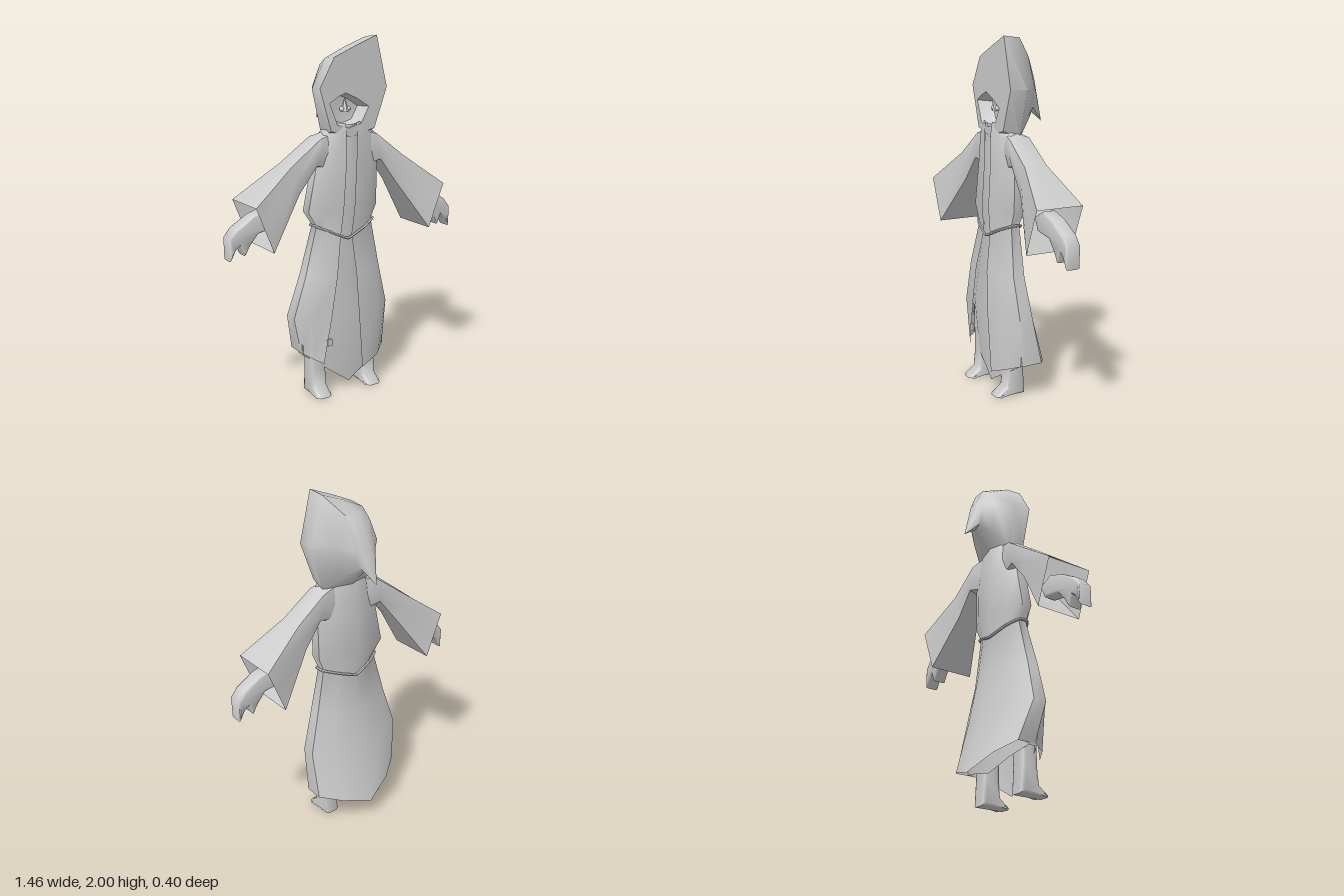
import * as THREE from 'three';
import { toCreasedNormals } from 'three/addons/utils/BufferGeometryUtils.js';

const material = new THREE.MeshStandardMaterial({ color: 0xcccccc, side: THREE.DoubleSide });

function part(name, geometry, crease = 0.9) {
  const mesh = new THREE.Mesh(toCreasedNormals(geometry, crease), material);
  mesh.name = name;
  return mesh;
}

// Skin a list of rings, each with the same number of [x, y, z] points.
function loft(rings, closed = true) {
  const n = rings[0].length;
  const index = [];
  for (let i = 0; i < rings.length - 1; i++) {
    for (let j = 0; j < (closed ? n : n - 1); j++) {
      const k = (j + 1) % n;
      const a = i * n + j, b = i * n + k, c = a + n, d = b + n;
      index.push(a, b, d, a, d, c);
    }
  }
  const g = new THREE.BufferGeometry();
  g.setAttribute('position', new THREE.Float32BufferAttribute(rings.flat(2), 3));
  g.setIndex(index);
  g.computeVertexNormals();
  return g;
}

// Horizontal section of the robe, from the left front edge round the back to
// the right front edge. Hem heights may differ at front, sides and back.
function robeRing({ y, xl, xr, gl, gr, zf, zb, yr = y, yfl = y, yfr = y, yb = y }) {
  const zm = (zf + zb) / 2, d = (zf - zb) * 0.2, cx = -0.02;
  const mix = THREE.MathUtils.lerp;
  const half = (x, g, ySide, yFront) => [
    [g, yFront, zf],
    [mix(g, x, 0.6), mix(yFront, ySide, 0.6), mix(zf, zm, 0.15)],
    [x, ySide, zm + d],
    [x, ySide, zm - d * 0.6],
    [mix(cx, x, 0.6), mix(yb, ySide, 0.6), mix(zb, zm, 0.3)],
  ];
  return [...half(xr, gr, yr, yfr), [cx, yb, zb], ...half(xl, gl, y, yfl).reverse()];
}

function extrude(points, depth, bevel) {
  const shape = new THREE.Shape(points.map(([x, y]) => new THREE.Vector2(x, y)));
  const g = new THREE.ExtrudeGeometry(shape, {
    depth: depth - 2 * bevel, bevelEnabled: true, bevelThickness: bevel,
    bevelSize: bevel, bevelOffset: -bevel, bevelSegments: 2,
  });
  return g.translate(0, 0, bevel - depth / 2);
}

// Sleeve, open at the cuff, with its hand; built on the +x side.
function createArm(cuffShift) {
  const arm = new THREE.Group();
  const ring = (xt, yt, xb, yb, z0, z1, round) => {
    const xm = (xt + xb) / 2, ym = (yt + yb) / 2, zm = (z0 + z1) / 2;
    const c = (x, y, z) => [
      x + (xm - x) * round, y + (ym - y) * round, z + (zm - z) * round];
    return [c(xt, yt, z0), [xt, yt, zm], c(xt, yt, z1), [xm, ym, z1],
      c(xb, yb, z1), [xb, yb, zm], c(xb, yb, z0), [xm, ym, z0]];
  };
  const s = cuffShift;
  arm.add(part('sleeve', loft([
    ring(0.08, 1.51, 0.12, 1.27, 0.0, 0.12, 0.2),
    ring(0.18, 1.48, 0.21, 1.30, -0.02, 0.135, 0.2),
    ring(0.36 + s / 2, 1.34, 0.31 + s / 2, 1.165, -0.02, 0.135, 0.12),
    ring(0.6 + s, 1.15, 0.5 + s, 0.9, -0.075, 0.2, 0),
  ])));
  arm.add(part('hand', extrude([
    [0.42, 1.08], [0.5, 1.12], [0.59, 1.09], [0.69, 1.03], [0.73, 0.98], [0.725, 0.86],
    [0.69, 0.92], [0.665, 0.94], [0.64, 0.88], [0.61, 0.93], [0.56, 0.99], [0.45, 1.01],
  ], 0.085, 0.012).translate(0, 0, 0.065)));
  return arm;
}

function createHood() {
  const hood = new THREE.Group();
  const at = (z, pts) => pts.map(([x, y]) => [x, y, z]);
  const point = (x, y, z) => Array.from({ length: 8 }, () => [x, y, z]);
  const opening = [[0.03, 1.67], [0.11, 1.62], [0.06, 1.53], [-0.02, 1.51],
    [-0.09, 1.53], [-0.14, 1.65], [-0.09, 1.68], [-0.04, 1.7]];
  // From the face recess out over the rim and back to the drooping tip
  hood.add(part('hood', loft([
    point(-0.015, 1.61, 0.05),
    at(0.06, opening.map(([x, y]) => [x * 0.8, 1.61 + (y - 1.61) * 0.8])),
    at(0.14, opening),
    at(0.138, [[0.16, 2], [0.23, 1.72], [0.15, 1.5], [0, 1.46],
      [-0.13, 1.5], [-0.2, 1.73], [-0.11, 1.89], [0.02, 1.945]]),
    at(0.04, [[0.155, 1.99], [0.238, 1.72], [0.16, 1.46], [0, 1.42],
      [-0.13, 1.46], [-0.19, 1.72], [-0.11, 1.88], [0.02, 1.94]]),
    at(-0.06, [[0.08, 1.89], [0.14, 1.74], [0.09, 1.56], [0, 1.53],
      [-0.09, 1.56], [-0.13, 1.72], [-0.08, 1.84], [0, 1.89]]),
    at(-0.12, [[0.04, 1.77], [0.06, 1.7], [0.03, 1.61], [-0.01, 1.59],
      [-0.05, 1.61], [-0.07, 1.7], [-0.05, 1.76], [-0.01, 1.78]]),
    point(-0.015, 1.53, -0.2),
  ])));
  // Small nose with nostrils inside the recess
  hood.add(part('nose', new THREE.ConeGeometry(0.025, 0.08, 6).translate(-0.015, 1.635, 0.09)));
  for (const x of [-0.037, 0.007]) {
    hood.add(part('nostril', new THREE.SphereGeometry(0.014, 8, 6).translate(x, 1.61, 0.095)));
  }
  return hood;
}

export function createModel() {
  const model = new THREE.Group();
  model.name = 'hoodedFigure';

  const waist = { y: 0.98, xl: -0.2, xr: 0.16, gl: -0.07, gr: 0, zf: 0.14, zb: -0.015,
    yfl: 0.92, yfr: 0.92, yb: 0.92 };

  // Outer coat, open down the front
  const coat = [
    { y: 1.54, xl: -0.11, xr: 0.13, gl: -0.04, gr: 0.03, zf: 0.14, zb: -0.01 },
    { y: 1.47, xl: -0.16, xr: 0.17, gl: -0.04, gr: 0.03, zf: 0.15, zb: -0.025 },
    { y: 1.3, xl: -0.2, xr: 0.2, gl: -0.04, gr: 0.025, zf: 0.15, zb: -0.035 },
    { y: 1.06, xl: -0.25, xr: 0.195, gl: -0.06, gr: 0.01, zf: 0.155, zb: -0.04 },
    waist,
    { y: 0.7, xl: -0.28, xr: 0.21, gl: -0.11, gr: 0.015, zf: 0.17, zb: -0.04 },
    { y: 0.47, xl: -0.35, xr: 0.268, gl: -0.15, gr: 0.03, zf: 0.175, zb: -0.075 },
    { y: 0.25, xl: -0.29, yr: 0.2, xr: 0.268, gl: -0.2, gr: 0.06, zf: 0.17, zb: -0.17,
      yfl: 0.2, yfr: 0.12, yb: 0.12 },
  ];
  model.add(part('coat', loft(coat.map(robeRing).reverse(), false)));

  // Under robe seen through the coat's opening, with a pointed hem
  model.add(part('underRobe', loft([
    { y: 1.53, xl: -0.1, xr: 0.1, zf: 0.135, zb: 0 },
    { y: 1.3, xl: -0.16, xr: 0.16, zf: 0.14, zb: -0.01 },
    { y: 1.06, xl: -0.19, xr: 0.16, zf: 0.145, zb: -0.01 },
    { y: 0.95, xl: -0.17, xr: 0.13, zf: 0.13, zb: 0 },
    { y: 0.47, xl: -0.31, xr: 0.25, zf: 0.155, zb: -0.04 },
    { y: 0.24, yr: 0.2, xl: -0.285, xr: 0.26, zf: 0.13, zb: -0.03, yfl: 0.04, yfr: 0.04, yb: 0.14 },
  ].map((r) => robeRing({ gl: -0.01, gr: -0.01, ...r })).reverse(), false)));

  // Cord round the waist, dipping at front and back
  const cord = robeRing({ ...waist, xl: -0.21, xr: 0.17, gl: -0.03, gr: -0.03,
    zf: 0.15, zb: -0.025, yfl: 0.9, yfr: 0.9 }).slice(0, -1);
  const cordPath = new THREE.CatmullRomCurve3(
    cord.map((p) => new THREE.Vector3(...p)), true, 'catmullrom', 0.15);
  model.add(part('beltCord', new THREE.TubeGeometry(cordPath, 60, 0.008, 6, true)));

  // Small patch on the skirt
  model.add(part('patch', new THREE.BoxGeometry(0.03, 0.04, 0.012).translate(-0.165, 0.32, 0.17)));

  const hood = createHood();
  hood.name = 'hoodAndFace';
  model.add(hood);

  const leftArm = createArm(0);
  leftArm.name = 'leftArm';
  const rightArm = createArm(0.02);
  rightArm.name = 'rightArm';
  rightArm.scale.x = -1;
  model.add(leftArm, rightArm);

  // Legs with pointed boots, as a side profile of [z, y]
  for (const [name, x] of [['rightLeg', -0.202], ['leftLeg', 0.132]]) {
    const leg = extrude([[0.012, 0], [0.19, 0], [0.185, 0.012], [0.13, 0.055], [0.12, 0.15],
      [0.125, 0.5], [0.015, 0.5], [0.02, 0.15]], 0.095, 0.02);
    model.add(part(name, leg.rotateY(-Math.PI / 2).translate(x, 0, 0)));
  }
  return model;
}
